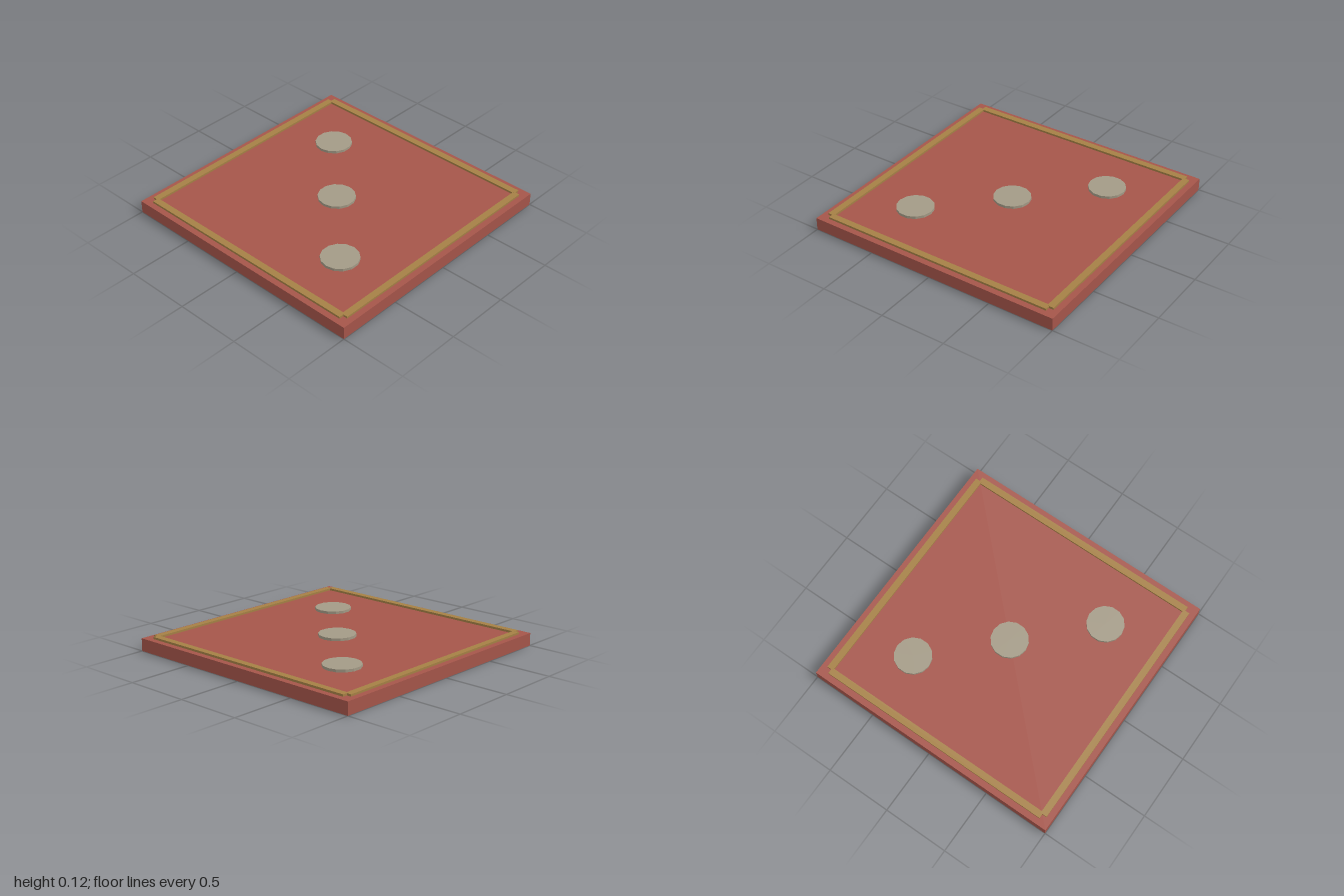
import * as THREE from 'three';

const material = (color) => new THREE.MeshStandardMaterial({ color, flatShading: true });

export function createModel() {
  const model = new THREE.Group();
  const red = material(0xa5554a);
  const gold = material(0xa58045);
  const stone = material(0xa39a86);

  const add = (name, geometry, mat, x, y, z) => {
    const mesh = new THREE.Mesh(geometry, mat);
    mesh.name = name;
    mesh.position.set(x, y, z);
    model.add(mesh);
  };

  // Square base slab
  const slabTop = 0.096;
  add('slab', new THREE.BoxGeometry(2, slabTop, 2), red, 0, slabTop / 2, 0);

  // Four raised trim strips; the shallow height offset keeps crossing corners clean
  const width = 0.05, length = 1.84, inset = 0.93, trimTop = 0.112;
  for (const side of [-1, 1]) {
    const end = side < 0 ? 'back' : 'front';
    const flank = side < 0 ? 'right' : 'left';
    const h = trimTop - slabTop;
    add(`${end}Trim`, new THREE.BoxGeometry(length, h, width), gold, 0, slabTop + h / 2, side * inset);
    add(`${flank}Trim`, new THREE.BoxGeometry(width, h - 0.0005, length), gold, side * inset, slabTop + (h - 0.0005) / 2, 0);
  }

  // Three low discs along the diagonal
  const discHeight = 0.02;
  ['backDisc', 'middleDisc', 'frontDisc'].forEach((name, i) => {
    const p = (i - 1) * 0.5;
    add(name, new THREE.CylinderGeometry(0.14, 0.14, discHeight, 14), stone, p, slabTop + discHeight / 2, p);
  });

  return model;
}
